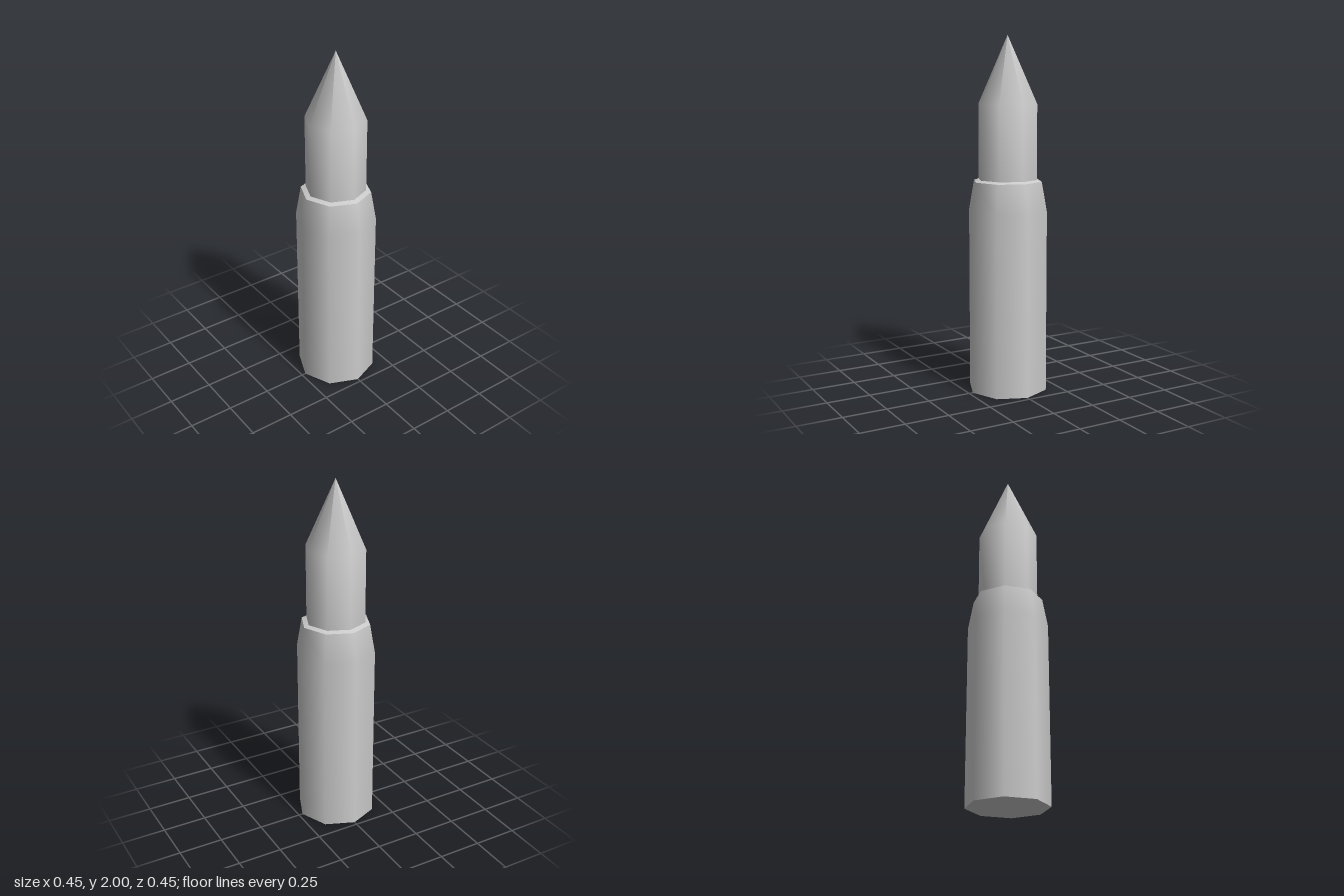
import * as THREE from 'three';

const SIDES = 8;
const material = new THREE.MeshStandardMaterial({ color: 0xcccccc });

// Eight-sided turned part from a bottom-to-top profile of [radius, y]
function turned(name, profile) {
  const points = profile.map(([r, y]) => new THREE.Vector2(r, y));
  const mesh = new THREE.Mesh(new THREE.LatheGeometry(points, SIDES), material);
  mesh.name = name;
  return mesh;
}

export function createModel() {
  const group = new THREE.Group();
  group.name = 'cartridge';

  // Separate profiles keep the base and rim edges sharp
  group.add(turned('base', [[0, 0], [0.227, 0]]));
  group.add(turned('casing', [[0.227, 0], [0.227, 1.03], [0.197, 1.197]]));
  group.add(turned('casingRim', [[0.197, 1.197], [0.169, 1.207]]));

  // Straight shank running into a pointed tip
  group.add(turned('bullet', [[0.169, 1.207], [0.169, 1.625], [0, 2]]));

  return group;
}
